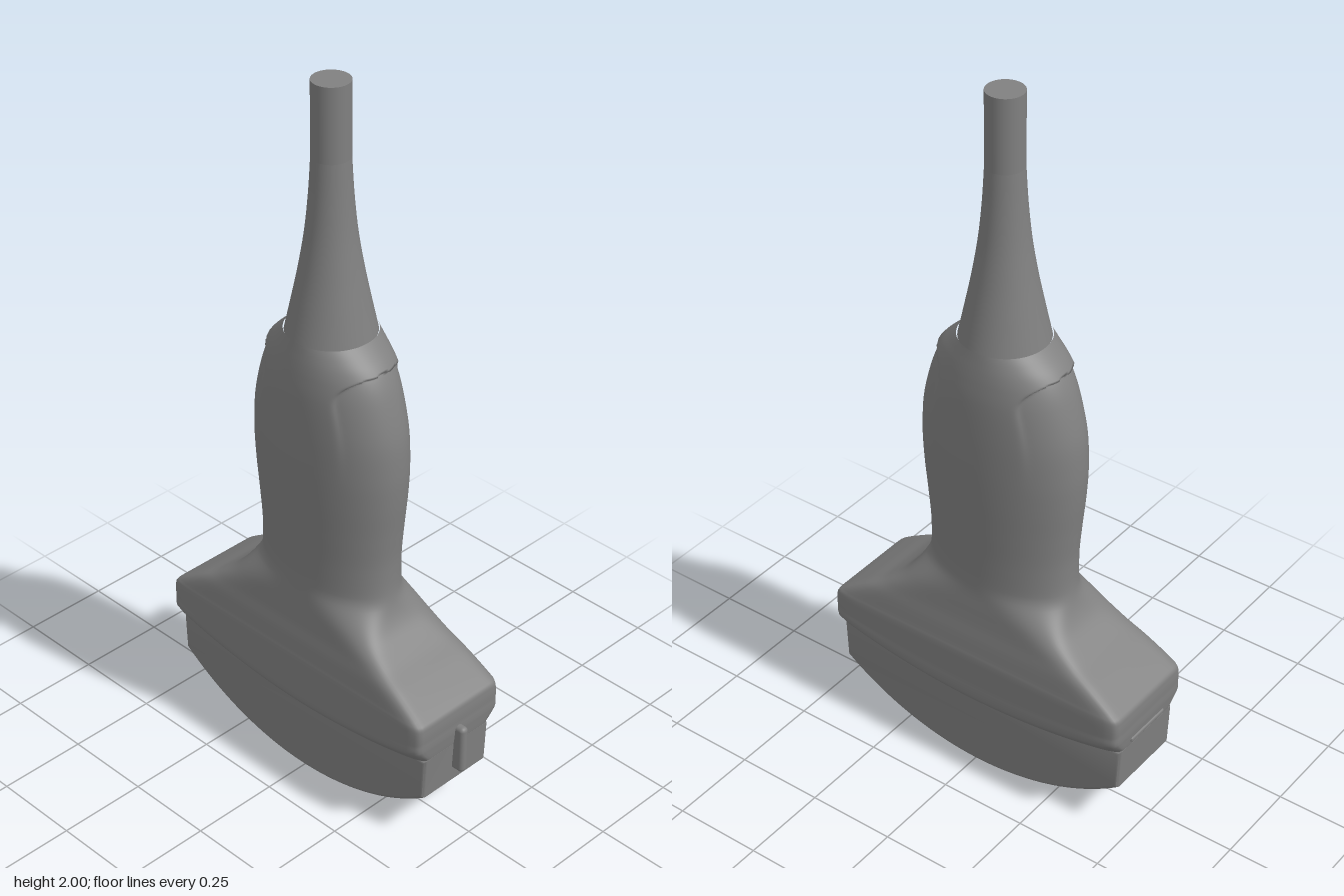
import * as THREE from 'three';
import { toCreasedNormals } from 'three/addons/utils/BufferGeometryUtils.js';
import { RoundedBoxGeometry } from 'three/addons/geometries/RoundedBoxGeometry.js';

const smooth = THREE.MathUtils.smoothstep;
const darkGrey = new THREE.MeshStandardMaterial({ color: 0x808080 });
const CX = -0.013; // body axis; the side ridge takes up the rest of the width

// Housing sections: height, half width (x), half depth (z)
const SECTIONS = [
  [0.208, 0.459, 0.116], [0.218, 0.461, 0.124], [0.245, 0.464, 0.149], [0.26, 0.465, 0.156],
  [0.31, 0.465, 0.156], [0.375, 0.465, 0.156], [0.392, 0.462, 0.155], [0.405, 0.447, 0.153],
  [0.45, 0.378, 0.147], [0.49, 0.312, 0.14], [0.54, 0.254, 0.134], [0.6, 0.224, 0.128],
  [0.7, 0.217, 0.129], [0.8, 0.224, 0.134], [0.9, 0.234, 0.139], [1.0, 0.239, 0.142],
  [1.1, 0.238, 0.142], [1.2, 0.217, 0.138], [1.25, 0.195, 0.132], [1.28, 0.173, 0.127],
  [1.31, 0.142, 0.121], [1.33, 0.12, 0.117],
];

// Loft from a rectangular head to an oval grip, with recessed side panels
function housingGeometry() {
  const curve = new THREE.CatmullRomCurve3(
    SECTIONS.map(([y, a, b]) => new THREE.Vector3(a, y, b)), false, 'centripetal');
  const rows = (SECTIONS.length - 1) * 7, side = 40, n = side * 4;
  const pos = [], index = [];
  for (let i = 0; i <= rows; i++) {
    const { x: a, y, z: b } = curve.getPoint(i / rows);
    const power = THREE.MathUtils.lerp(24, 2.1, Math.pow(smooth(y, 0.37, 0.62), 0.6));
    // half width of the arched side panel at this height
    const t = THREE.MathUtils.clamp((1.268 - y) / 0.09, 0, 1);
    const half = 0.122 * Math.cbrt(1 - (1 - t) ** 3);
    for (let j = 0; j < n; j++) {
      // walk round a unit square, then round it off by the power
      const w = Math.tan(((j % side) / side - 0.5) * Math.PI / 2);
      const [u, v] = [[1, w], [-w, 1], [-1, -w], [w, -1]][Math.floor(j / side)];
      const s = Math.pow(Math.abs(u) ** power + Math.abs(v) ** power, -1 / power);
      let x = a * u * s;
      const z = b * v * s;
      // panel is deepest at the top and fades downwards
      const inside = smooth(half - Math.abs(z), 0, 0.016);
      x -= Math.sign(x) * 0.014 * inside * smooth(y, 0.95, 1.22);
      // lower lip follows the curve of the lens
      const lift = 0.06 * (x / 0.46) ** 2 * (1 - smooth(y, 0.24, 0.38));
      pos.push(x, y + lift, z);
      if (i < rows) {
        const p = i * n + j, q = i * n + (j + 1) % n;
        index.push(p, p + n, q, q, p + n, q + n);
      }
    }
  }
  const g = new THREE.BufferGeometry();
  g.setAttribute('position', new THREE.Float32BufferAttribute(pos, 3));
  g.setIndex(index);
  g.computeVertexNormals();
  return g;
}

// Curved lens block, its ends flush with the housing
function lensGeometry() {
  const w = 0.455, sag = 0.15, r = (w * w + sag * sag) / (2 * sag);
  const half = Math.asin(w / r);
  const shape = new THREE.Shape();
  shape.moveTo(0.461, 0.275);
  shape.lineTo(-0.461, 0.275);
  shape.absarc(0, r, r, -Math.PI / 2 - half, -Math.PI / 2 + half, false);
  shape.closePath();
  const g = new THREE.ExtrudeGeometry(shape, {
    depth: 0.22, curveSegments: 48, bevelEnabled: true,
    bevelThickness: 0.01, bevelSize: 0.01, bevelOffset: -0.01, bevelSegments: 3,
  });
  g.translate(0, 0, -0.11);
  return toCreasedNormals(g, 0.6);
}

export function createModel() {
  const group = new THREE.Group();
  const add = (name, geometry, x = CX, y = 0, z = 0) => {
    const mesh = new THREE.Mesh(geometry, darkGrey);
    mesh.name = name;
    mesh.position.set(x, y, z);
    group.add(mesh);
  };

  add('housing', housingGeometry());
  add('lens', lensGeometry());

  // Tapered strain relief
  const profile = new THREE.SplineCurve([
    [0.118, 1.325], [0.1, 1.41], [0.082, 1.5], [0.066, 1.6], [0.056, 1.7], [0.05, 1.8],
  ].map(([r, y]) => new THREE.Vector2(r, y))).getPoints(30);
  add('strainRelief', new THREE.LatheGeometry(profile, 48));

  // Cable stub
  add('cable', new THREE.CylinderGeometry(0.05, 0.05, 0.22, 48), CX, 1.89);

  // Orientation ridge on one end, flat rib on the other
  add('orientationRidge', new RoundedBoxGeometry(0.05, 0.145, 0.026, 4, 0.012), 0.453, 0.262);
  add('endRib', new RoundedBoxGeometry(0.012, 0.014, 0.15, 2, 0.005), CX - 0.461, 0.29);

  return group;
}
